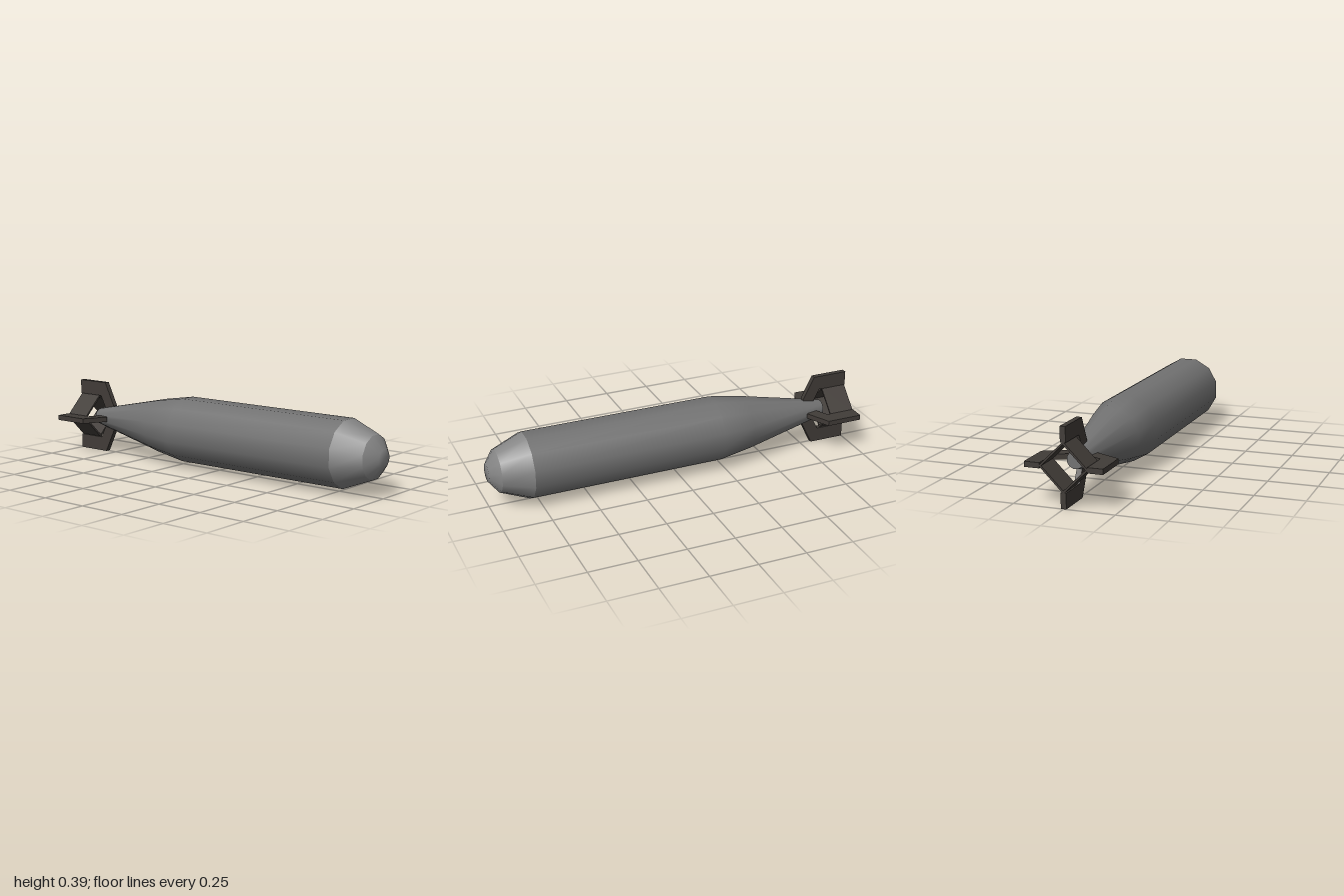
import * as THREE from 'three';

const CENTRE_Y = 0.194;
const SIDES = 12;
const K = 1 / Math.cos(Math.PI / SIDES); // flat-to-flat half width -> corner radius

const bodyMat = new THREE.MeshStandardMaterial({ color: 0x727272 });
const noseMat = new THREE.MeshStandardMaterial({ color: 0x868686 });
const finMat = new THREE.MeshStandardMaterial({ color: 0x413c38 });

// Twelve-sided shell along z from [half width, z] pairs, listed back to front
function shell(name, profile, material) {
  const points = profile.map(([r, z]) => new THREE.Vector2(r * K, z));
  const geometry = new THREE.LatheGeometry(points, SIDES, Math.PI / SIDES);
  geometry.rotateX(Math.PI / 2);
  const mesh = new THREE.Mesh(geometry, material);
  mesh.name = name;
  return mesh;
}

// Cranked fin pointing up: a sloping arm and an outer blade, as [height, z]
function finGeometry(thickness) {
  const outline = [
    [0.05, -0.75], [0.072, -0.75], [0.193, -0.81], [0.193, -1],
    [0.117, -1], [0.117, -0.845], [0.04, -0.805], [0.02, -0.805],
  ];
  const shape = new THREE.Shape(outline.map(([h, z]) => new THREE.Vector2(-z, h)));
  const geometry = new THREE.ExtrudeGeometry(shape, { depth: thickness, bevelEnabled: false });
  geometry.translate(0, 0, -thickness / 2);
  geometry.rotateY(Math.PI / 2);
  return geometry;
}

export function createModel() {
  const model = new THREE.Group();
  model.name = 'finnedBomb';
  const assembly = new THREE.Group();
  assembly.name = 'assembly';
  assembly.position.y = CENTRE_Y;
  model.add(assembly);

  // Casing: straight barrel with a long tapered tail
  assembly.add(
    shell('casing', [[0.042, -0.86], [0.138, -0.4], [0.167, -0.22], [0.167, 0.8]], bodyMat),
    shell('tailCap', [[0, -0.86], [0.042, -0.86]], bodyMat),
    shell('noseCone', [[0.167, 0.8], [0.108, 0.95]], noseMat),
    shell('noseTip', [[0.108, 0.95], [0.045, 1], [0, 1]], noseMat),
  );

  // Tail: four fins joined by a hollow diamond of plates
  const tail = new THREE.Group();
  tail.name = 'tail';
  const fin = finGeometry(0.027);
  const reach = 0.122; // diamond corner distance
  const plateThickness = 0.01;
  const plate = new THREE.BoxGeometry(reach * Math.SQRT2, plateThickness, 0.135);
  plate.translate(0, reach / Math.SQRT2 - plateThickness / 2, -0.9325);
  for (let i = 0; i < 4; i++) {
    const finMesh = new THREE.Mesh(fin, finMat);
    finMesh.name = 'fin';
    finMesh.rotation.z = i * Math.PI / 2;
    const plateMesh = new THREE.Mesh(plate, finMat);
    plateMesh.name = 'finPlate';
    plateMesh.rotation.z = (i + 0.5) * Math.PI / 2;
    tail.add(finMesh, plateMesh);
  }
  assembly.add(tail);

  return model;
}
